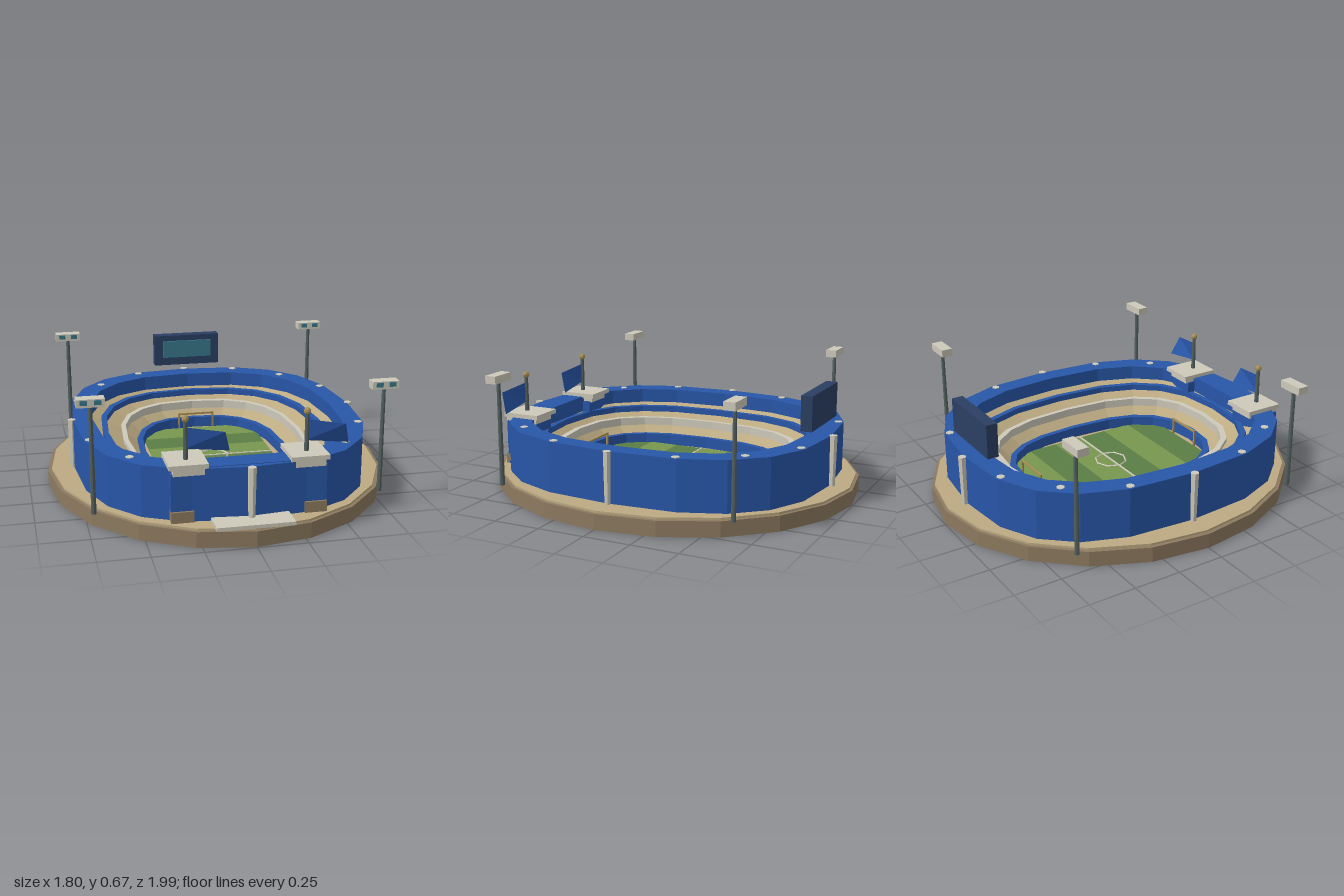
import * as THREE from 'three';

const SIDES = 20;
const BLUE = 0x2856a8, TAN = 0xbcaa82, BROWN = 0x8d7a60, CREAM = 0xcdc9ba;
const STEEL = 0x52605f, NAVY = 0x2a3f63, TEAL = 0x38788a, BRONZE = 0xa88f55;

const mat = (color, side = THREE.FrontSide) =>
  new THREE.MeshStandardMaterial({ color, flatShading: true, side });

function add(parent, name, geo, color, x = 0, y = 0, z = 0, side) {
  const m = new THREE.Mesh(geo, mat(color, side));
  m.name = name;
  m.position.set(x, y, z);
  parent.add(m);
  return m;
}

// Box given by its minimum and maximum corners
function box(parent, name, color, x0, x1, y0, y1, z0, z1) {
  return add(parent, name, new THREE.BoxGeometry(x1 - x0, y1 - y0, z1 - z0), color,
    (x0 + x1) / 2, (y0 + y1) / 2, (z0 + z1) / 2);
}

const cyl = (rTop, rBottom, h, n) => new THREE.CylinderGeometry(rTop, rBottom, h, n);

// Squarish oval outline point number i
function ovalPoint(a, b, y, i) {
  const t = (i % SIDES) / SIDES * Math.PI * 2, e = 2 / 2.6;
  const f = v => (Math.abs(v) < 1e-9 ? 0 : Math.sign(v) * Math.abs(v) ** e);
  return [a * f(Math.sin(t)), y, b * f(Math.cos(t))];
}

// Sweeps a closed section of [halfWidth, halfLength, y] round the oval
function ovalRing(section) {
  const pos = [];
  for (let i = 0; i < SIDES; i++) {
    section.forEach((p, k) => {
      const q = section[(k + 1) % section.length];
      const a = ovalPoint(...p, i), b = ovalPoint(...p, i + 1);
      const c = ovalPoint(...q, i + 1), d = ovalPoint(...q, i);
      pos.push(...a, ...b, ...c, ...a, ...c, ...d);
    });
  }
  const g = new THREE.BufferGeometry();
  g.setAttribute('position', new THREE.Float32BufferAttribute(pos, 3));
  g.computeVertexNormals();
  return g;
}

// Ring with outer and inner radii, floor, and top heights at each edge
const band = (oa, ob, ia, ib, y0, yOut, yIn = yOut) =>
  ovalRing([[oa, ob, y0], [oa, ob, yOut], [ia, ib, yIn], [ia, ib, y0]]);

export function createModel() {
  const model = new THREE.Group();
  model.name = 'stadium';

  // Ground plinth
  add(model, 'plinth', cyl(1, 1, 0.08, SIDES), BROWN, 0, 0.04, 0).scale.set(0.9, 1, 0.995);
  add(model, 'plaza', cyl(1, 1, 0.012, SIDES), TAN, 0, 0.085, 0).scale.set(0.88, 1, 0.98);

  // Bowl: outer wall, sloping seat banks and the parapets between them
  add(model, 'outerWall', band(0.76, 0.875, 0.655, 0.76, 0.09, 0.355), BLUE);
  add(model, 'upperBank', band(0.66, 0.765, 0.595, 0.725, 0.09, 0.28, 0.25), TAN);
  add(model, 'upperParapet', band(0.6, 0.73, 0.57, 0.7, 0.09, 0.27), BLUE);
  add(model, 'middleBank', band(0.575, 0.705, 0.485, 0.64, 0.09, 0.24, 0.2), TAN);
  add(model, 'middleParapet', band(0.49, 0.645, 0.465, 0.612, 0.09, 0.225), CREAM);
  add(model, 'lowerBank', band(0.47, 0.617, 0.395, 0.555, 0.09, 0.185, 0.13), TAN);
  add(model, 'pitchWall', band(0.4, 0.56, 0.37, 0.53, 0.09, 0.15), BLUE);

  // Buttress columns round the wall
  for (let i = 0; i < 16; i++) {
    const t = i / 16 * Math.PI * 2;
    add(model, 'buttress', cyl(0.022, 0.017, 0.268, 6), CREAM,
      0.765 * Math.sin(t), 0.224, 0.885 * Math.cos(t));
  }

  // Striped pitch with markings
  const pitch = new THREE.Group();
  pitch.name = 'pitch';
  model.add(pitch);
  for (let i = 0; i < 6; i++) {
    const z = -0.49 + i * 0.1633;
    box(pitch, 'grassStripe', i % 2 ? 0x5b7e45 : 0x78964f, -0.33, 0.33, 0.088, 0.1, z, z + 0.1633);
  }
  box(pitch, 'halfwayLine', CREAM, -0.33, 0.33, 0.1, 0.104, -0.005, 0.005);
  const circle = add(pitch, 'centreCircle', new THREE.TorusGeometry(0.085, 0.005, 4, 8), CREAM, 0, 0.102, 0);
  circle.rotation.x = Math.PI / 2;

  // Goals
  for (const s of [-1, 1]) {
    const goal = new THREE.Group();
    goal.name = 'goal';
    goal.position.z = s * 0.495;
    model.add(goal);
    for (const x of [-0.1, 0.1])
      box(goal, 'goalPost', BRONZE, x - 0.005, x + 0.005, 0.09, 0.19, -0.005, 0.005);
    box(goal, 'crossbar', BRONZE, -0.105, 0.105, 0.18, 0.19, -0.005, 0.005);
  }

  // Entrance between the gate towers
  box(model, 'entranceStep', CREAM, -0.19, 0.19, 0.09, 0.108, 0.83, 0.985);
  box(model, 'gateBeam', BLUE, -0.22, 0.22, 0.27, 0.358, 0.72, 0.84);

  // Gate towers with flags
  for (const s of [-1, 1]) {
    const tower = new THREE.Group();
    tower.name = 'gateTower';
    tower.position.set(s * 0.295, 0, 0.76);
    model.add(tower);
    box(tower, 'towerBody', BLUE, -0.085, 0.085, 0.09, 0.33, -0.085, 0.085);
    box(tower, 'corbel', CREAM, -0.075, 0.075, 0.325, 0.357, -0.095, 0.095);
    box(tower, 'towerCap', CREAM, -0.095, 0.095, 0.355, 0.378, -0.115, 0.095);
    const door = s * 0.03;
    box(tower, 'towerDoor', BROWN, door - 0.055, door + 0.055, 0.09, 0.146, 0.03, 0.097);
    add(tower, 'flagPole', cyl(0.01, 0.012, 0.19, 8), STEEL, 0, 0.47, 0.01);
    add(tower, 'poleBall', new THREE.SphereGeometry(0.018, 8, 6), BRONZE, 0, 0.577, 0.01);
    const flag = new THREE.BufferGeometry();
    flag.setAttribute('position', new THREE.Float32BufferAttribute([
      0, 0.43, 0.01, 0.215, 0.402, 0.0, 0.185, 0.51, 0.04, 0, 0.535, 0.01], 3));
    flag.setIndex([0, 1, 2, 0, 2, 3]);
    flag.computeVertexNormals();
    add(tower, 'flag', flag, BLUE, 0, 0, 0, THREE.DoubleSide);
  }

  // Floodlights, all turned to the front
  for (const x of [-0.722, 0.722]) {
    for (const z of [-0.647, 0.647]) {
      const light = new THREE.Group();
      light.name = 'floodlight';
      light.position.set(x, 0, z);
      model.add(light);
      add(light, 'mast', cyl(0.01, 0.013, 0.55, 8), STEEL, 0, 0.362, 0);
      box(light, 'lampHousing', CREAM, -0.068, 0.068, 0.63, 0.67, -0.03, 0.03);
      for (const lx of [-0.033, 0.033])
        box(light, 'lamp', TEAL, lx - 0.017, lx + 0.017, 0.643, 0.665, 0.02, 0.036);
    }
  }

  // Scoreboard above the rear stand
  box(model, 'scoreboard', NAVY, -0.195, 0.195, 0.412, 0.593, -0.835, -0.775);
  box(model, 'scoreboardScreen', TEAL, -0.145, 0.145, 0.46, 0.56, -0.78, -0.763);

  return model;
}
